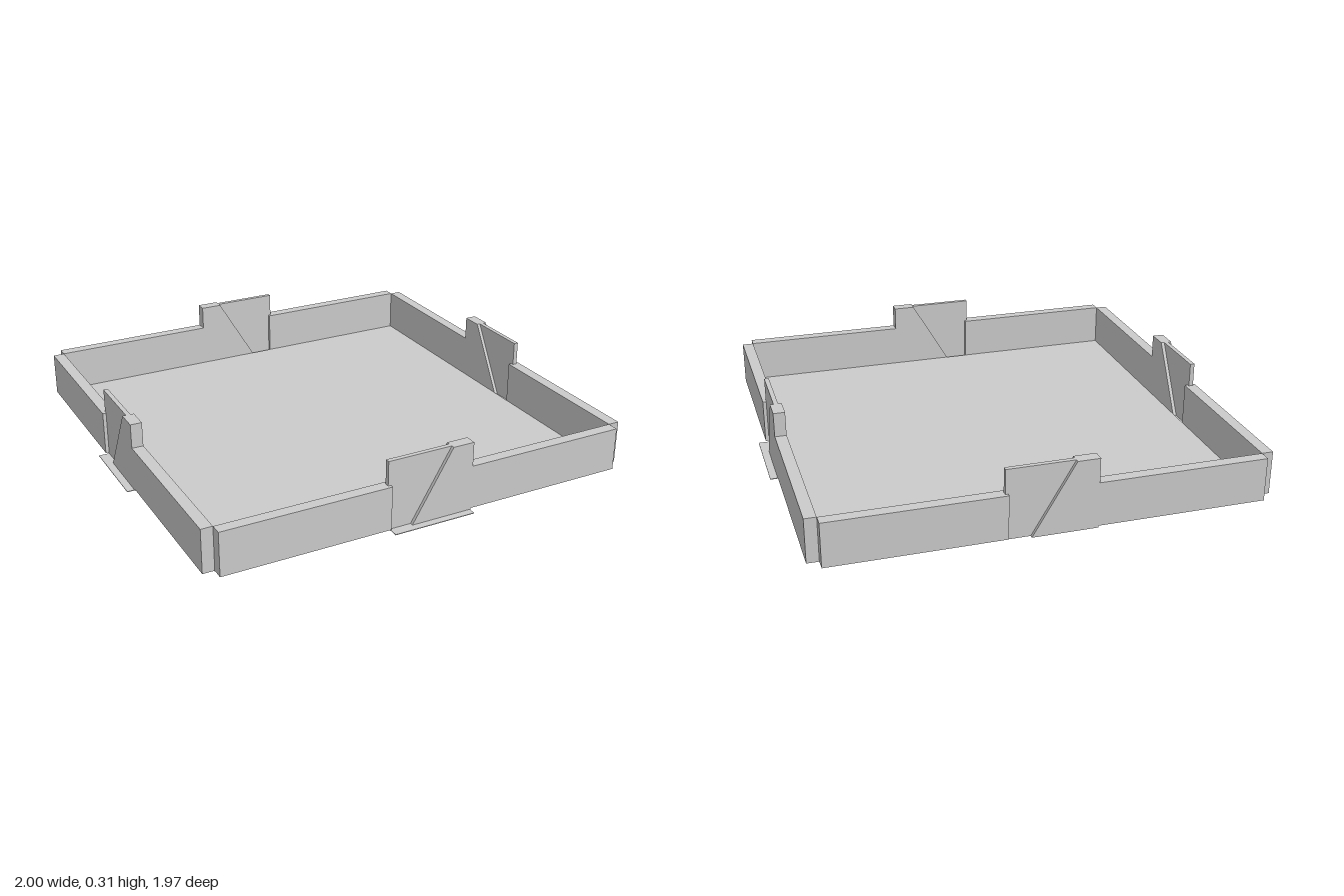
import * as THREE from 'three';

const HALF = 0.9185;    // half width of the floor
const WALL = 0.05;      // wall thickness
const BASE = 0.008;     // underside of the walls
const TOP = 0.2;        // top of the walls
const TAB_TOP = 0.307;  // top of the connector tabs

const material = new THREE.MeshStandardMaterial({ color: 0xcccccc, flatShading: true });

// Box given by its minimum and maximum corners
function box(name, [x0, y0, z0], [x1, y1, z1]) {
  const mesh = new THREE.Mesh(new THREE.BoxGeometry(x1 - x0, y1 - y0, z1 - z0), material);
  mesh.position.set((x0 + x1) / 2, (y0 + y1) / 2, (z0 + z1) / 2);
  mesh.name = name;
  return mesh;
}

// Clip cheek: upright plate whose left edge slopes up to the right
function cheek(name, z, depth) {
  const shape = new THREE.Shape([
    new THREE.Vector2(-0.09, 0), new THREE.Vector2(0.188, 0),
    new THREE.Vector2(0.188, TAB_TOP), new THREE.Vector2(0.092, TAB_TOP),
  ]);
  const mesh = new THREE.Mesh(
    new THREE.ExtrudeGeometry(shape, { depth, bevelEnabled: false }), material);
  mesh.position.z = z;
  mesh.name = name;
  return mesh;
}

// One side of the tray, facing +z
function side(name, withFoot) {
  const group = new THREE.Group();
  group.name = name;
  const inner = HALF, outer = HALF + WALL;
  const tongue = 0.02, gap = (WALL - tongue) / 2;

  // Wall on both sides of the connector
  group.add(
    box('wallLeftPart', [-HALF, BASE, inner], [-0.184, TOP, outer]),
    box('wallRightPart', [0.188, BASE, inner], [HALF, TOP, outer]),
  );

  // Connector: a thin tongue held between two sloped cheeks
  group.add(
    box('connectorTongue', [-0.196, 0, inner + gap], [0.188, TAB_TOP, outer - gap]),
    cheek('innerCheek', inner, gap),
    cheek('outerCheek', outer - gap, gap),
  );

  // Thin foot under the connector
  if (withFoot) group.add(box('foot', [-0.184, 0, inner], [0.184, 0.003, outer + 0.032]));
  return group;
}

export function createModel() {
  const model = new THREE.Group();
  model.name = 'tray';
  model.add(box('floor', [-HALF, 0.004, -HALF], [HALF, BASE + 0.003, HALF]));

  // Four identical sides turned around the centre; the back one has no foot
  ['frontSide', 'leftSide', 'backSide', 'rightSide'].forEach((name, i) => {
    const part = side(name, name !== 'backSide');
    part.rotation.y = i * Math.PI / 2;
    model.add(part);
  });

  model.position.z = -0.0165;
  const root = new THREE.Group();
  root.add(model);
  return root;
}
